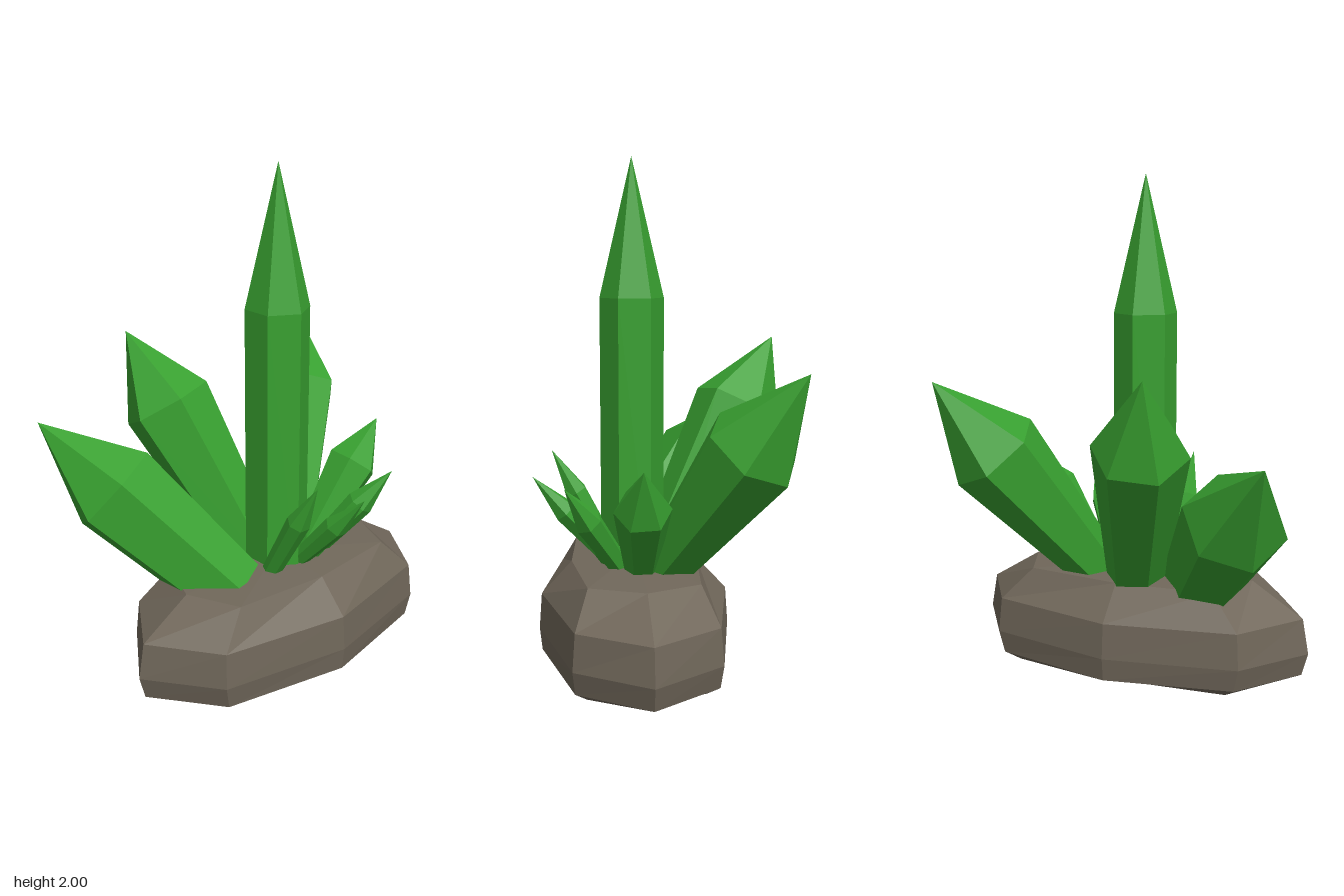
import * as THREE from 'three';

const green = new THREE.MeshStandardMaterial({ color: 0x38a030 });
green.name = 'crystalGreen';
const stone = new THREE.MeshStandardMaterial({ color: 0x70675a });
stone.name = 'stoneBrown';

// Give every face its own flat normal
function facet(geometry) {
  const g = geometry.index ? geometry.toNonIndexed() : geometry;
  g.computeVertexNormals();
  return g;
}

// Eight-sided boulder: rings of [y, side x, diagonal x, front z, diagonal z]
function rockGeometry() {
  const rings = [
    [0.0, 0.001, 0.001, 0.001, 0.001],
    [0.02, 0.5, 0.45, 0.26, 0.22],
    [0.06, 0.69, 0.5, 0.37, 0.265],
    [0.15, 0.715, 0.52, 0.38, 0.275],
    [0.29, 0.69, 0.51, 0.37, 0.265],
    [0.42, 0.48, 0.39, 0.25, 0.21],
    [0.445, 0.001, 0.001, 0.001, 0.001],
  ];
  const positions = [];
  const index = [];
  for (const [y, ax, dx, az, dz] of rings) {
    for (let i = 0; i < 8; i++) {
      const a = (i * Math.PI) / 4;
      const sx = Math.round(Math.sin(a));
      const sz = Math.round(Math.cos(a));
      const diagonal = i % 2 === 1;
      positions.push(sx * (diagonal ? dx : ax), y, sz * (diagonal ? dz : az));
    }
  }
  for (let r = 0; r < rings.length - 1; r++) {
    for (let i = 0; i < 8; i++) {
      const a = r * 8 + i;
      const b = r * 8 + ((i + 1) % 8);
      index.push(a, b, b + 8, a, b + 8, a + 8);
    }
  }
  const g = new THREE.BufferGeometry();
  g.setAttribute('position', new THREE.Float32BufferAttribute(positions, 3));
  g.setIndex(index);
  return facet(g);
}

// Six-sided crystal from base to tip, widest at the shoulder
function crystal({ name, base, tip, shoulder, rBase, rShoulder, twist = 0 }) {
  const from = new THREE.Vector3(...base);
  const axis = new THREE.Vector3(...tip).sub(from);
  const length = axis.length();
  axis.normalize();
  const sunk = 0.08; // depth of the root inside the rock
  const profile = [
    [0, -sunk],
    [rBase, -sunk],
    [rShoulder, length * shoulder],
    [0, length],
  ].map(([x, y]) => new THREE.Vector2(x, y));
  const geometry = new THREE.LatheGeometry(profile, 6);
  geometry.rotateY(THREE.MathUtils.degToRad(twist));
  const mesh = new THREE.Mesh(facet(geometry), green);
  mesh.name = name;
  mesh.position.copy(from);
  mesh.quaternion.setFromUnitVectors(new THREE.Vector3(0, 1, 0), axis);
  return mesh;
}

export function createModel() {
  const model = new THREE.Group();
  model.name = 'crystalCluster';

  const rock = new THREE.Mesh(rockGeometry(), stone);
  rock.name = 'rock';
  rock.position.z = 0.1;
  model.add(rock);

  const crystals = [
    // Large crystals
    { name: 'mainCrystal', base: [-0.015, 0.38, 0.105], tip: [-0.015, 2, 0.105], shoulder: 0.667, rBase: 0.125, rShoulder: 0.126 },
    { name: 'backCrystal', base: [-0.03, 0.4, -0.02], tip: [-0.27, 1.285, -0.51], shoulder: 0.68, rBase: 0.11, rShoulder: 0.185, twist: 45 },
    { name: 'backLeftCrystal', base: [0.14, 0.4, 0.02], tip: [0.625, 1.22, -0.45], shoulder: 0.65, rBase: 0.09, rShoulder: 0.19, twist: 15 },
    { name: 'backRightCrystal', base: [-0.28, 0.4, 0.05], tip: [-0.71, 1.01, -0.5], shoulder: 0.58, rBase: 0.15, rShoulder: 0.2, twist: 45 },
    // Small crystals
    { name: 'sideCrystal', base: [0.17, 0.4, 0.09], tip: [0.55, 0.875, 0.12], shoulder: 0.65, rBase: 0.05, rShoulder: 0.108 },
    { name: 'frontRightCrystal', base: [-0.115, 0.4, 0.17], tip: [-0.105, 0.85, 0.42], shoulder: 0.62, rBase: 0.035, rShoulder: 0.047, twist: 30 },
    { name: 'frontCrystal', base: [0.015, 0.4, 0.17], tip: [0.065, 0.775, 0.5], shoulder: 0.62, rBase: 0.03, rShoulder: 0.048, twist: 30 },
    { name: 'frontLeftCrystal', base: [0.13, 0.4, 0.15], tip: [0.345, 0.78, 0.39], shoulder: 0.62, rBase: 0.035, rShoulder: 0.055, twist: 30 },
    { name: 'tinyCrystal', base: [0.08, 0.4, 0.18], tip: [0.115, 0.54, 0.27], shoulder: 0.6, rBase: 0.025, rShoulder: 0.035 },
  ];
  for (const spec of crystals) model.add(crystal(spec));

  return model;
}
